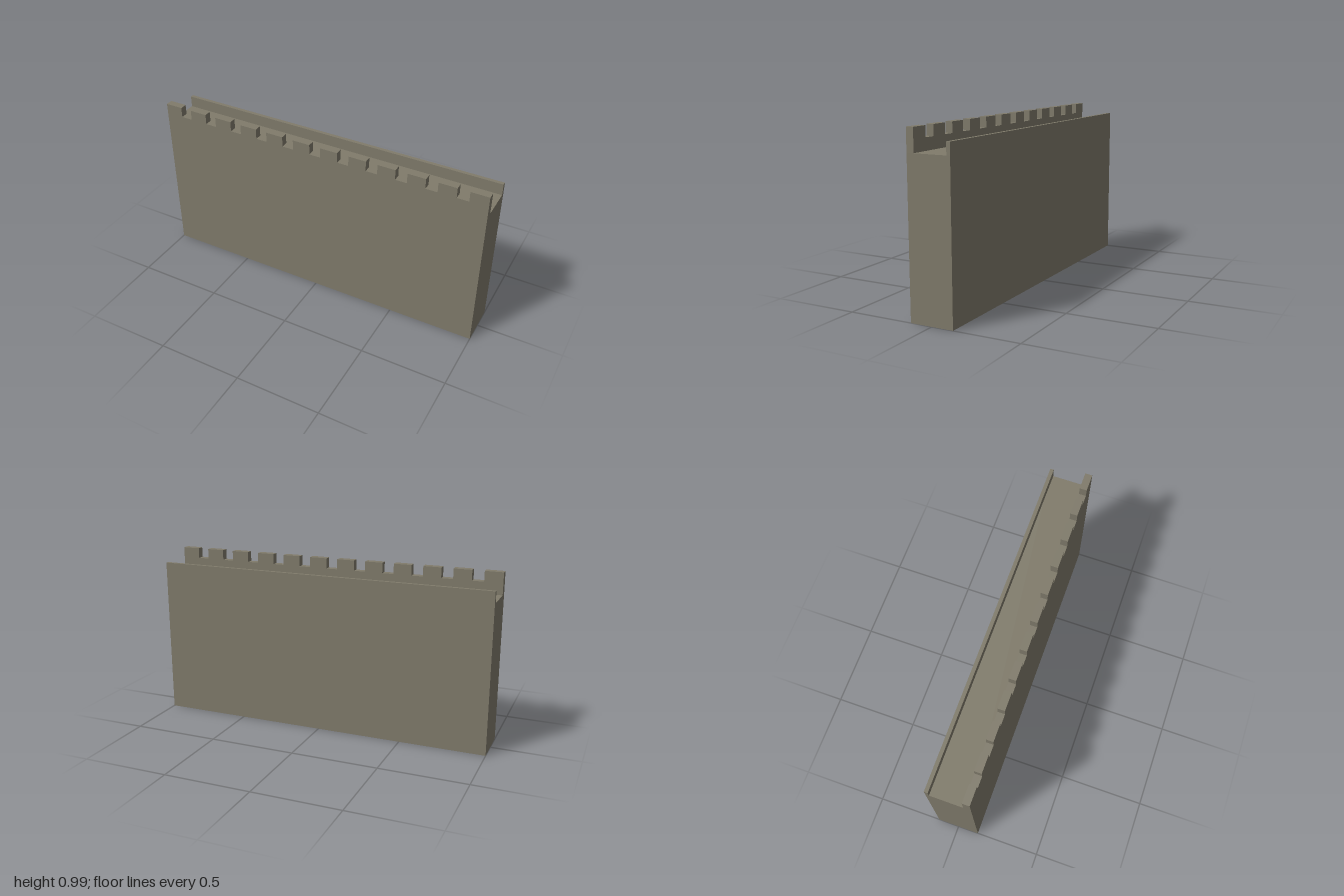
import * as THREE from 'three';

const LENGTH = 2, DEPTH = 0.25;
const WALK_Y = 0.86, SILL_Y = 0.927, TOP_Y = 0.987;
const FRONT_T = 0.042, BACK_T = 0.021;
const MERLONS = 12, MERLON_W = 0.1045;

export function createModel() {
  const stone = new THREE.MeshStandardMaterial({ color: 0x807b6b, side: THREE.DoubleSide });
  stone.name = 'stone';
  const model = new THREE.Group();
  model.name = 'castleWall';

  const add = (name, geometry, x, y, z) => {
    const mesh = new THREE.Mesh(geometry, stone);
    mesh.name = name;
    mesh.position.set(x, y, z);
    model.add(mesh);
  };

  // Hollow wall body with the walkway as its roof, open underneath
  const body = new THREE.BoxGeometry(LENGTH, WALK_Y, DEPTH);
  const index = Array.from(body.index.array);
  index.splice(18, 6); // drop the bottom face
  body.setIndex(index);
  body.clearGroups();
  add('wallBody', body, 0, WALK_Y / 2, 0);

  // Front parapet: one outline with evenly spaced gaps
  const gap = (LENGTH - MERLONS * MERLON_W) / (MERLONS - 1);
  const outline = new THREE.Shape();
  outline.moveTo(-LENGTH / 2, WALK_Y);
  for (let i = 0; i < MERLONS; i++) {
    const x = -LENGTH / 2 + i * (MERLON_W + gap);
    if (i > 0) outline.lineTo(x, SILL_Y);
    outline.lineTo(x, TOP_Y);
    outline.lineTo(x + MERLON_W, TOP_Y);
    if (i < MERLONS - 1) outline.lineTo(x + MERLON_W, SILL_Y);
  }
  outline.lineTo(LENGTH / 2, WALK_Y);
  const parapet = new THREE.ExtrudeGeometry(outline, { depth: FRONT_T, bevelEnabled: false });
  add('crenellatedParapet', parapet, 0, 0, DEPTH / 2 - FRONT_T);

  // Low plain parapet along the back of the walkway
  const backH = SILL_Y - WALK_Y;
  add('backParapet', new THREE.BoxGeometry(LENGTH, backH, BACK_T),
    0, WALK_Y + backH / 2, -DEPTH / 2 + BACK_T / 2);

  return model;
}
